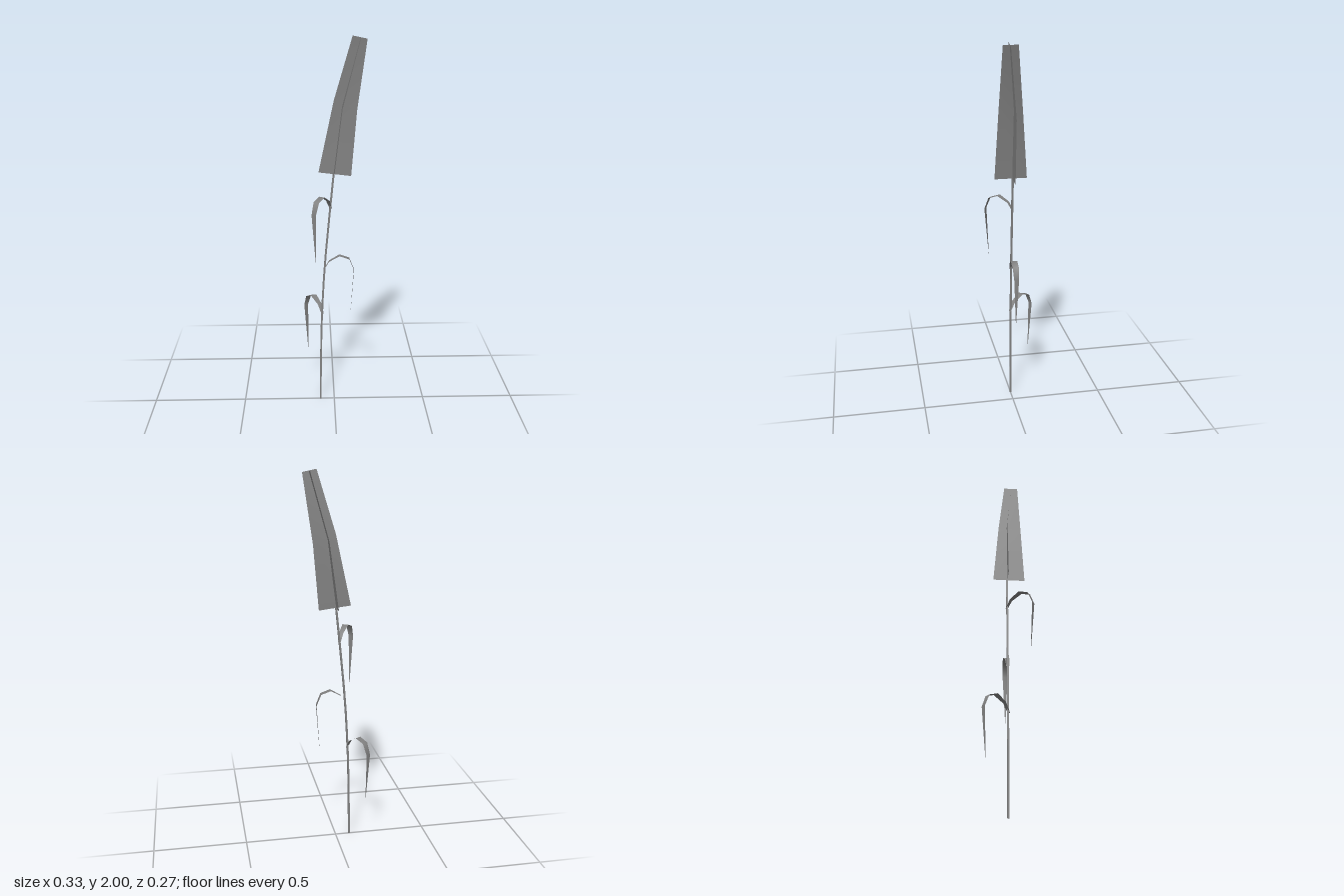
import * as THREE from 'three';

const material = (flatShading) => new THREE.MeshStandardMaterial({ color: 0x828282, side: THREE.DoubleSide, flatShading });

// Open ribbon through rows of [left corner, right corner]
function ribbon(name, rows) {
  const index = [];
  for (let i = 0; i < rows.length - 1; i++) {
    const a = i * 2;
    index.push(a, a + 1, a + 3, a, a + 3, a + 2);
  }
  const geometry = new THREE.BufferGeometry();
  geometry.setAttribute('position', new THREE.Float32BufferAttribute(rows.flat(2), 3));
  geometry.setIndex(index);
  geometry.computeVertexNormals();
  const mesh = new THREE.Mesh(geometry, material(false));
  mesh.name = name;
  return mesh;
}

// Drooping leaf: reach, height and half width along its midline
const leafProfile = [
  [-0.006, 0, 0.008], [0.022, 0.048, 0.012], [0.078, 0.08, 0.0175],
  [0.13, 0.062, 0.0165], [0.155, 0, 0.013], [0.138, -0.258, 0.001],
];

function leaf(name, x, y, degrees) {
  const mesh = ribbon(name, leafProfile.map(([r, h, w]) => [[r, h, -w], [r, h, w]]));
  mesh.position.set(x, y, 0);
  mesh.rotation.y = THREE.MathUtils.degToRad(degrees);
  return mesh;
}

// Thin leaning stem of square section
function createStem() {
  const half = 0.005;
  const points = new THREE.SplineCurve([
    [-0.077, 0], [-0.072, 0.35], [-0.063, 0.6], [-0.045, 0.87], [-0.003, 1.305],
  ].map(([x, y]) => new THREE.Vector2(x, y))).getPoints(8);
  const outline = [
    ...points.map((p) => new THREE.Vector2(p.x + half, p.y)),
    ...points.map((p) => new THREE.Vector2(p.x - half, p.y)).reverse(),
  ];
  const geometry = new THREE.ExtrudeGeometry(new THREE.Shape(outline), { depth: half * 2, bevelEnabled: false });
  geometry.translate(0, 0, -half);
  const mesh = new THREE.Mesh(geometry, material(true));
  mesh.name = 'stem';
  return mesh;
}

export function createModel() {
  const group = new THREE.Group();
  group.name = 'reed';
  group.add(createStem());

  // Three leaves spiralling up the stem
  group.add(
    leaf('lowerLeaf', -0.067, 0.52, 124),
    leaf('middleLeaf', -0.05, 0.775, 0),
    leaf('upperLeaf', -0.022, 1.115, -124),
  );

  // Seed head: two bent panels crossing each other
  group.add(
    ribbon('seedHeadWidePanel', [
      [[-0.082, 1.31, 0.003], [0.087, 1.29, 0.003]],
      [[-0.003, 1.68, 0.003], [0.115, 1.63, 0.003]],
      [[0.088, 2, 0.04], [0.161, 1.985, 0.04]],
    ]),
    ribbon('seedHeadDeepPanel', [
      [[-0.004, 1.3, -0.074], [-0.004, 1.3, 0.096]],
      [[0.039, 1.65, -0.044], [0.039, 1.65, 0.081]],
      [[0.127, 1.99, -0.004], [0.127, 1.99, 0.073]],
    ]),
  );
  return group;
}
